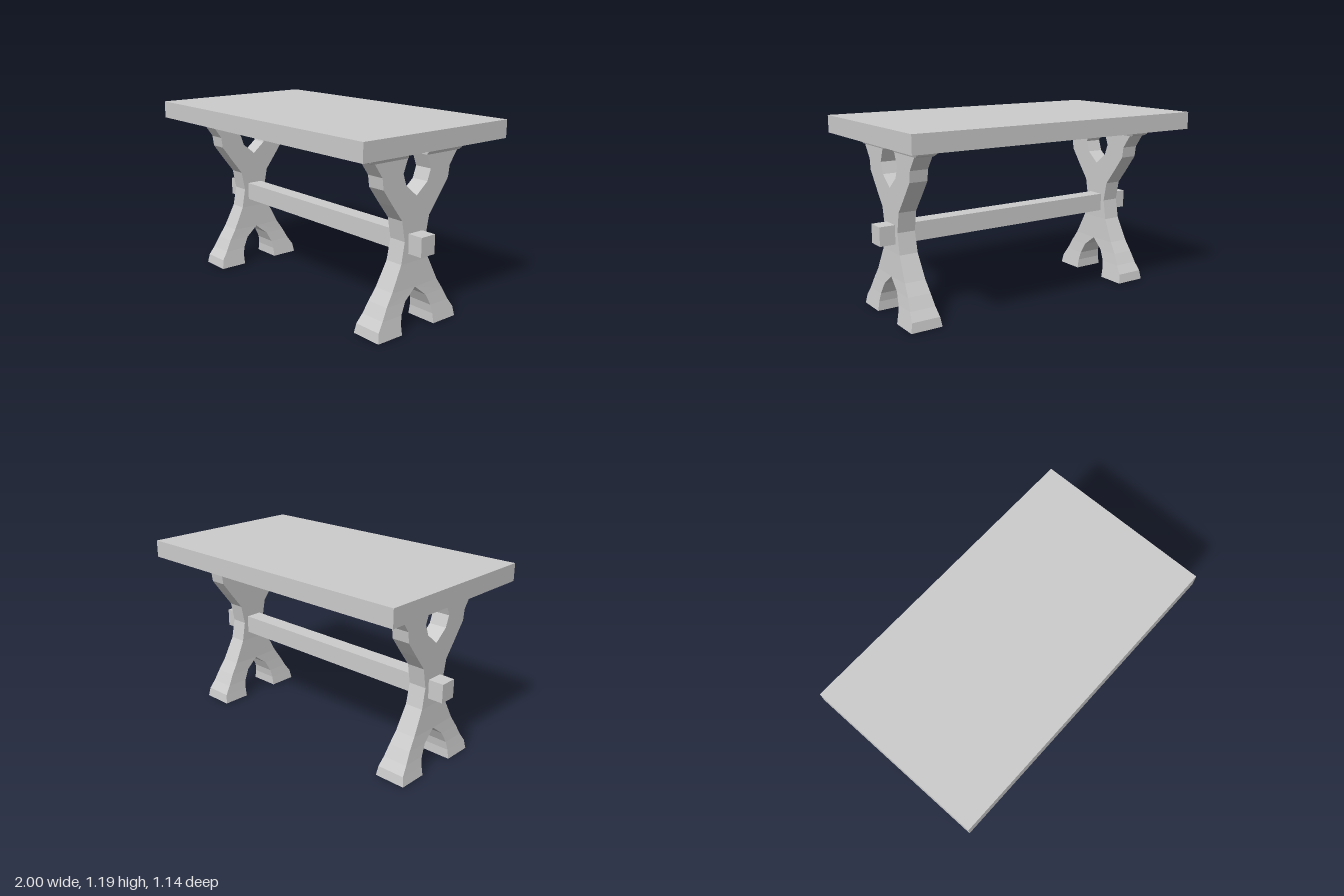
import * as THREE from 'three';

const material = new THREE.MeshStandardMaterial({ color: 0xcccccc, flatShading: true });
const TRESTLE_X = 0.797, TRESTLE_Z = 0.02;

// Cross-sections of half a trestle: [outer z, outer y, inner z, inner y, half thickness]
const trestleRows = [
  [0.32, 0, 0.132, 0, 0.102],
  [0.31, 0.06, 0.132, 0.06, 0.092],
  [0.272, 0.115, 0.122, 0.115, 0.083],
  [0.233, 0.187, 0.085, 0.187, 0.074],
  [0.185, 0.26, 0, 0.255, 0.067],
  [0.11, 0.41, 0, 0.41, 0.059],
  [0.085, 0.54, 0, 0.54, 0.057],
  [0.11, 0.667, 0, 0.667, 0.057],
  [0.185, 0.765, 0, 0.797, 0.057],
  [0.26, 0.867, 0.085, 0.867, 0.057],
  [0.27, 0.937, 0.11, 0.937, 0.057],
  [0.33, 1.022, 0.077, 1.022, 0.057],
];

// Flared pad that carries the top
const padRows = [
  [0.345, 1.02, 0.075, 1.02, 0.058],
  [0.363, 1.03, 0.075, 1.03, 0.062],
  [0.383, 1.078, 0.105, 1.078, 0.085],
];

// Joins four-cornered sections; side = 1 or -1 mirrors across z
function loft(rows, side) {
  const positions = [];
  const quad = (a, b, c, d) => {
    const order = side > 0 ? [a, b, c, a, c, d] : [a, c, b, a, d, c];
    order.forEach((p) => positions.push(...p));
  };
  const rings = rows.map(([oz, oy, iz, iy, w]) => [
    [-w, oy, side * oz], [w, oy, side * oz], [w, iy, side * iz], [-w, iy, side * iz],
  ]);
  for (let r = 0; r < rings.length - 1; r++) {
    const low = rings[r], high = rings[r + 1];
    for (let k = 0; k < 4; k++) {
      // The two halves meet at the centre, so no wall is needed there
      if (k === 2 && rows[r][2] === 0 && rows[r + 1][2] === 0) continue;
      const n = (k + 1) % 4;
      quad(low[k], low[n], high[n], high[k]);
    }
  }
  const first = rings[0], last = rings[rings.length - 1];
  quad(first[3], first[2], first[1], first[0]);
  quad(last[0], last[1], last[2], last[3]);
  const geometry = new THREE.BufferGeometry();
  geometry.setAttribute('position', new THREE.Float32BufferAttribute(positions, 3));
  geometry.computeVertexNormals();
  return geometry;
}

function addMesh(parent, name, geometry, x = 0, y = 0, z = 0) {
  const mesh = new THREE.Mesh(geometry, material);
  mesh.name = name;
  mesh.position.set(x, y, z);
  parent.add(mesh);
}

export function createModel() {
  const table = new THREE.Group();
  table.name = 'trestleTable';

  addMesh(table, 'tableTop', new THREE.BoxGeometry(2, 0.11, 1.14), 0, 1.132, 0);

  // Beam passing through both trestles
  addMesh(table, 'stretcher', new THREE.BoxGeometry(1.908, 0.118, 0.11), 0, 0.524, TRESTLE_Z);

  // X-shaped trestles, each made of two mirrored halves
  for (const sx of [1, -1]) {
    const trestle = new THREE.Group();
    trestle.name = sx > 0 ? 'leftTrestle' : 'rightTrestle';
    trestle.position.set(sx * TRESTLE_X, 0, TRESTLE_Z);
    for (const side of [1, -1]) {
      const end = side > 0 ? 'front' : 'back';
      addMesh(trestle, end + 'Leg', loft(trestleRows, side));
      addMesh(trestle, end + 'Pad', loft(padRows, side));
    }
    table.add(trestle);
  }
  return table;
}
